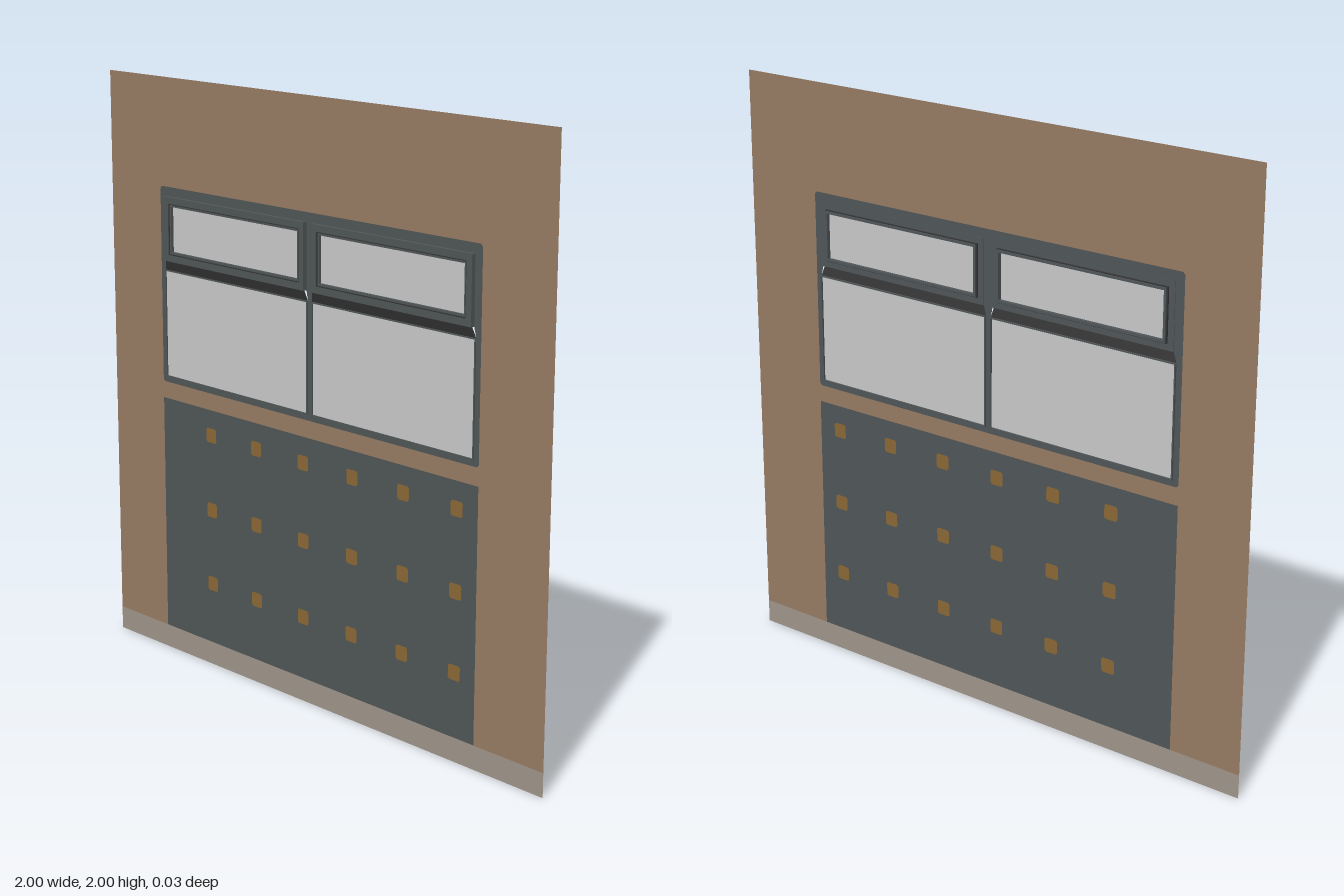
import * as THREE from 'three';

const mat = (name, color) => {
  const m = new THREE.MeshStandardMaterial({ color, side: THREE.DoubleSide });
  m.name = name;
  return m;
};

// Corner points of a rectangle, with corners cut by c
function rectPoints([x0, x1, y0, y1], c = 0) {
  const p = c
    ? [[x0 + c, y0], [x1 - c, y0], [x1, y0 + c], [x1, y1 - c], [x1 - c, y1], [x0 + c, y1], [x0, y1 - c], [x0, y0 + c]]
    : [[x0, y0], [x1, y0], [x1, y1], [x0, y1]];
  return p.map(([x, y]) => new THREE.Vector2(x, y));
}

function sheetShape(outline, holes = []) {
  const shape = new THREE.Shape(outline);
  holes.forEach(h => shape.holes.push(new THREE.Path(h)));
  return shape;
}

export function createModel() {
  const wallMat = mat('brown wall', 0x987c63);
  const stoneMat = mat('plinth stone', 0xa0958a);
  const frameMat = mat('slate grey', 0x505658);
  const glassMat = mat('pale glass', 0xcacaca);
  const studMat = mat('ochre', 0x8b6835);
  const darkMat = mat('dark seal', 0x363535);

  const model = new THREE.Group();
  const add = (name, geometry, material) => {
    const mesh = new THREE.Mesh(geometry, material);
    mesh.name = name;
    model.add(mesh);
    return mesh;
  };
  const sheet = (name, material, outline, holes, z = 0) => {
    add(name, new THREE.ShapeGeometry(sheetShape(outline, holes)), material).position.z = z;
  };
  // Rectangular ring with depth, from z0 to z1
  const ring = (name, material, [x0, x1, y0, y1], t, z0, z1) => {
    const shape = sheetShape(rectPoints([x0, x1, y0, y1]), [rectPoints([x0 + t, x1 - t, y0 + t, y1 - t])]);
    const g = new THREE.ExtrudeGeometry(shape, { depth: z1 - z0, bevelEnabled: false });
    add(name, g, material).position.z = z0;
  };

  const windowRect = [-0.743, 0.717, 0.964, 1.636];
  const panelRect = [-0.743, 0.717, 0.08, 0.906];

  // Wall, notched around the lower panel, and its plinth
  const [px0, px1, py0, py1] = panelRect;
  const wallOutline = [[-1, py0], [px0, py0], [px0, py1], [px1, py1], [px1, py0], [1, py0], [1, 2], [-1, 2]]
    .map(([x, y]) => new THREE.Vector2(x, y));
  sheet('wall', wallMat, wallOutline, [rectPoints(windowRect, 0.008)]);
  sheet('plinth', stoneMat, rectPoints([-1, 1, 0, 0.08]));

  // Lower panel with a grid of inset studs
  const studs = [];
  for (let row = 0; row < 3; row++) {
    for (let col = 0; col < 6; col++) {
      const x = -0.497 + col * 0.2255, y = 0.293 + row * 0.2625, r = 0.025;
      studs.push(rectPoints([x - r, x + r, y - r, y + r], 0.006));
    }
  }
  sheet('lowerPanel', frameMat, rectPoints(panelRect), studs);
  studs.forEach(s => sheet('stud', studMat, s));

  // Window frame, opened for two sashes over two fixed panes
  const bays = [
    { sash: [-0.711, -0.029, 1.387, 1.605], pane: [-0.722, -0.022, 0.984, 1.354] },
    { sash: [0.006, 0.688, 1.387, 1.605], pane: [-0.003, 0.697, 0.984, 1.354] },
  ];
  const openings = bays.map(({ sash, pane }) =>
    [[pane[0], pane[2]], [pane[1], pane[2]], [pane[1], pane[3]], [sash[1], sash[2]],
      [sash[1], sash[3]], [sash[0], sash[3]], [sash[0], sash[2]], [pane[0], pane[3]]]
      .map(([x, y]) => new THREE.Vector2(x, y)));
  sheet('windowFrame', frameMat, rectPoints(windowRect, 0.008), openings);

  bays.forEach(({ sash, pane }) => {
    // Fixed pane and its glazing bead
    ring('glazingBead', frameMat, pane, 0.004, -0.006, 0.004);
    sheet('fixedPane', glassMat, rectPoints(pane));

    // Sloping drip strip between the pane and the sash
    const strip = new THREE.BufferGeometry();
    strip.setAttribute('position', new THREE.Float32BufferAttribute([
      pane[0], pane[3], 0, pane[1], pane[3], 0,
      sash[1], sash[2], 0.008, sash[0], sash[2], 0.008], 3));
    strip.setIndex([0, 1, 2, 0, 2, 3]);
    strip.computeVertexNormals();
    add('dripStrip', strip, darkMat);

    // Opening sash: outer ring, dark seal, inner ring and glass
    const inset = d => [sash[0] + d, sash[1] - d, sash[2] + d, sash[3] - d];
    ring('sashFrame', frameMat, sash, 0.022, -0.002, 0.014);
    ring('sashSeal', darkMat, inset(0.0215), 0.004, -0.008, 0.012);
    ring('sashInnerFrame', frameMat, inset(0.0245), 0.008, -0.013, 0.01);
    sheet('sashGlass', glassMat, rectPoints(inset(0.03)), [], 0);
  });

  return model;
}
